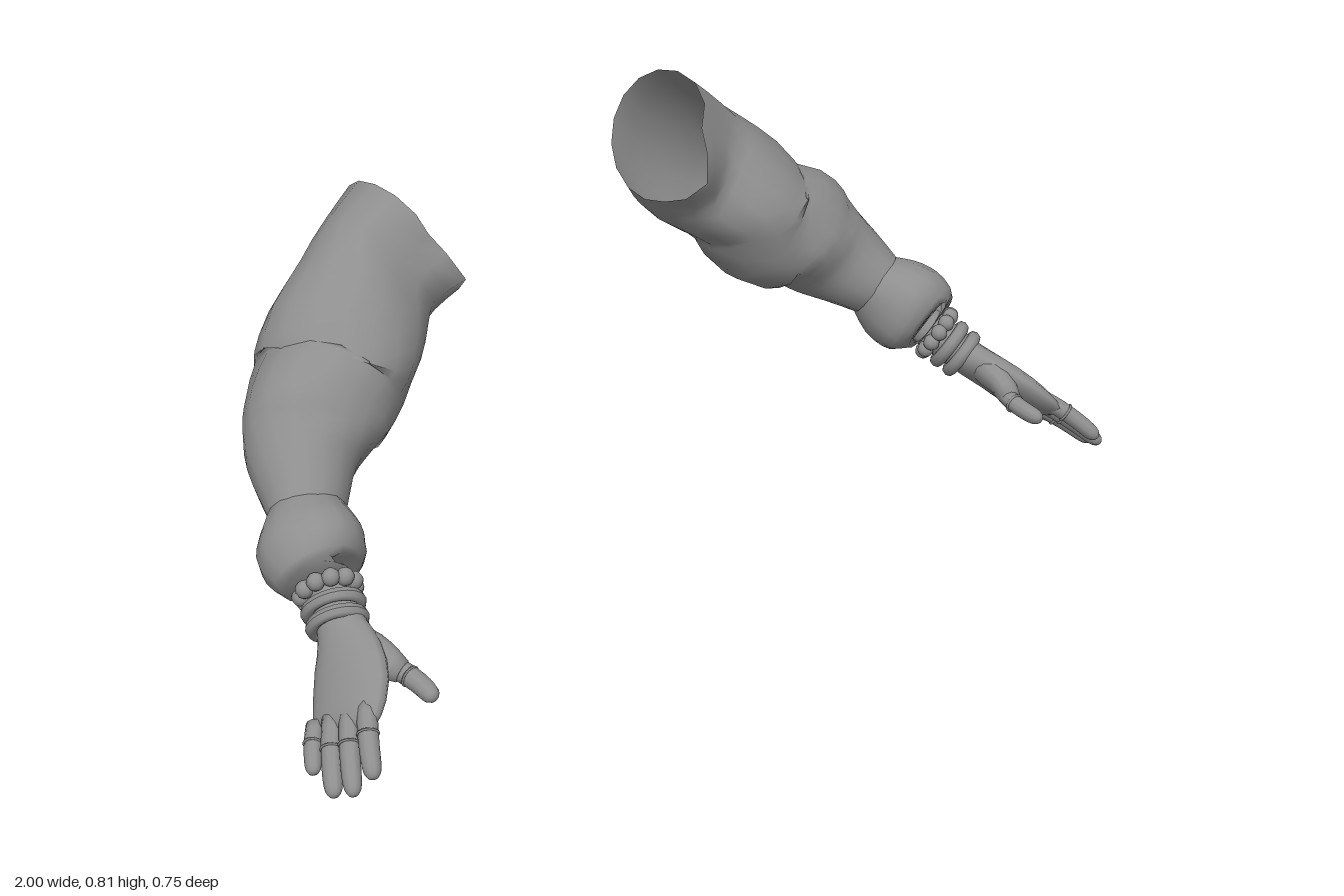
import * as THREE from 'three';

const V = (x, y, z) => new THREE.Vector3(x, y, z);
const bump = (a, centre) => Math.exp(-(((a - centre) / 0.4) ** 2));

// Skin of elliptical rings through stations [x, y, z, radiusU, radiusV].
// ref fixes the ring's V axis; options: start tangent, surface wobble, caps.
function loft(stations, ref, { sides = 12, steps = 2, start, wobble, caps = true } = {}) {
  const path = new THREE.CatmullRomCurve3(stations.map(s => V(s[0], s[1], s[2])), false, 'catmullrom');
  const radii = new THREE.CatmullRomCurve3(stations.map(s => V(s[3], s[4], 0)), false, 'catmullrom');
  const rings = (stations.length - 1) * steps;
  const pos = [], index = [];
  for (let i = 0; i <= rings; i++) {
    const f = i / rings, c = path.getPoint(f), r = radii.getPoint(f), t = path.getTangent(f);
    if (start) t.lerp(start, Math.max(0, 1 - f * 6)).normalize();
    const u = ref.clone().cross(t).normalize(), v = t.clone().cross(u);
    for (let j = 0; j < sides; j++) {
      const a = j / sides * Math.PI * 2, k = wobble ? wobble(a, f) : 1;
      const p = c.clone().addScaledVector(u, Math.cos(a) * r.x * k).addScaledVector(v, Math.sin(a) * r.y * k);
      pos.push(p.x, p.y, p.z);
      if (i < rings) {
        const j2 = (j + 1) % sides, A = i * sides + j, B = i * sides + j2;
        index.push(A, B, A + sides, B, B + sides, A + sides);
      }
    }
  }
  if (caps) {
    const first = path.getPoint(0), last = path.getPoint(1), n = pos.length / 3;
    pos.push(first.x, first.y, first.z, last.x, last.y, last.z);
    for (let j = 0; j < sides; j++) {
      const j2 = (j + 1) % sides, base = rings * sides;
      index.push(n, j2, j, n + 1, base + j, base + j2);
    }
  }
  const g = new THREE.BufferGeometry();
  g.setAttribute('position', new THREE.Float32BufferAttribute(pos, 3));
  g.setIndex(index);
  g.computeVertexNormals();
  return g;
}

// Mirrors a geometry across x = 0 and restores its winding
function mirrorX(g) {
  g.scale(-1, 1, 1);
  const ix = g.index.array;
  for (let i = 0; i < ix.length; i += 3) [ix[i], ix[i + 1]] = [ix[i + 1], ix[i]];
  g.computeVertexNormals();
  return g;
}

// opening: centre and facing of the shoulder hole, which differ per arm
function createArm(name, mirrored, opening) {
  const arm = new THREE.Group();
  arm.name = name;
  const skin = new THREE.MeshStandardMaterial({ color: 0x8f8f8f });
  const cloth = new THREE.MeshStandardMaterial({ color: 0x8f8f8f, side: THREE.DoubleSide });
  const add = (part, g, mat = skin) => {
    const m = new THREE.Mesh(mirrored ? mirrorX(g) : g, mat);
    m.name = part;
    arm.add(m);
  };
  const up = V(0, 1, 0);

  // Baggy sleeve: cornered shoulder opening, fold at the elbow
  add('sleeve', loft([
    [...opening.centre, 0.132, 0.128],
    [0.412, 0.606, -0.25, 0.12, 0.128],
    [0.505, 0.532, -0.215, 0.144, 0.125],
    [0.556, 0.465, -0.19, 0.141, 0.128],
    [0.61, 0.444, -0.165, 0.132, 0.122],
    [0.653, 0.406, -0.142, 0.118, 0.111],
    [0.692, 0.367, -0.108, 0.096, 0.093],
    [0.735, 0.316, -0.046, 0.069, 0.068],
  ], up, {
    sides: 16, steps: 3, start: opening.facing, caps: false,
    wobble: (a, f) => 1 + 0.035 * Math.sin(Math.PI * f) * Math.sin(3 * a + f * 16)
      + Math.exp(-f * 6) * (0.2 * bump(a, 3.6) - 0.22 * bump(a, 2.82)),
  }), cloth);

  // Puffed cuff gathered around the wrist
  add('cuff', loft([
    [0.73, 0.32, -0.055, 0.062, 0.064],
    [0.751, 0.296, -0.022, 0.084, 0.086],
    [0.769, 0.277, 0.01, 0.096, 0.092],
    [0.782, 0.263, 0.034, 0.09, 0.085],
    [0.79, 0.249, 0.057, 0.07, 0.066],
    [0.787, 0.252, 0.054, 0.04, 0.04],
  ], up, {
    sides: 16, steps: 2, caps: false, start: V(0.45, -0.5, 0.74),
    wobble: (a, f) => 1 + 0.045 * Math.sin(3 * a + f * 4),
  }), cloth);

  // Palm and wrist, flattened towards the knuckles
  const back = V(0.76, 0.65, -0.05).normalize();
  add('palm', loft([
    [0.778, 0.245, 0.05, 0.042, 0.038],
    [0.802, 0.207, 0.106, 0.042, 0.037],
    [0.818, 0.184, 0.144, 0.051, 0.034],
    [0.84, 0.16, 0.183, 0.07, 0.032],
    [0.868, 0.129, 0.222, 0.08, 0.029],
    [0.899, 0.096, 0.247, 0.075, 0.022],
    [0.914, 0.08, 0.256, 0.059, 0.011],
  ], back, { sides: 16 }));

  // Tapered digit with a rounded tip, bent at the middle
  const digit = (part, a, b, c, r) => {
    const bend = new THREE.QuadraticBezierCurve3(a, b, c);
    const profile = [[0, 1.04], [0.3, 1.03], [0.6, 1], [0.82, 0.95], [0.93, 0.78], [0.985, 0.46], [1, 0.14]];
    add(part, loft(profile.map(([f, k]) => [...bend.getPoint(f).toArray(), r * k, r * k * 0.92]),
      back, { sides: 10 }));
    return bend;
  };
  // Rolled band around a digit or the wrist
  const band = (part, centre, axis, radius, tube, sx = 1) => {
    const g = new THREE.TorusGeometry(radius, tube, 8, 24);
    g.scale(sx, 1, 1.25);
    const u = back.clone().cross(axis).normalize();
    const frame = new THREE.Matrix4().makeBasis(u, axis.clone().cross(u), axis).setPosition(centre);
    add(part, g.applyMatrix4(frame));
  };

  // Four fingers with glove edges
  const names = ['indexFinger', 'middleFinger', 'ringFinger', 'littleFinger'];
  const tips = [[0.946, 0.046, 0.37], [0.977, 0.019, 0.354], [0.991, 0.008, 0.32], [0.985, 0.024, 0.26]];
  names.forEach((finger, i) => {
    const base = V(0.88, 0.124, 0.278).lerp(V(0.925, 0.068, 0.192), i / 3);
    const tip = V(...tips[i]);
    const mid = base.clone().lerp(tip, 0.5).addScaledVector(back, 0.01);
    const r = i === 3 ? 0.0155 : 0.018;
    const bend = digit(finger, base, mid, tip, r);
    band(finger + 'GloveEdge', bend.getPoint(0.4), bend.getTangent(0.4), r, 0.002);
  });

  // Thumb with its fleshy base
  add('thumbBase', loft([
    [0.826, 0.18, 0.148, 0.022, 0.022], [0.817, 0.174, 0.19, 0.037, 0.03],
    [0.807, 0.165, 0.232, 0.033, 0.026], [0.793, 0.15, 0.268, 0.021, 0.02],
  ], back));
  const thumb = digit('thumb', V(0.80, 0.156, 0.235), V(0.778, 0.142, 0.29), V(0.792, 0.13, 0.35), 0.0185);
  band('thumbGloveEdge', thumb.getPoint(0.42), thumb.getTangent(0.42), 0.0185, 0.002);

  // Two bangles and a bead bracelet tucked under the cuff
  const wristAxis = V(0.4, -0.55, 0.73).normalize();
  band('lowerBangle', V(0.811, 0.193, 0.121), wristAxis, 0.042, 0.0105, 1.12);
  band('upperBangle', V(0.8, 0.21, 0.098), wristAxis, 0.043, 0.0105, 1.14);
  const bu = back.clone().cross(wristAxis).normalize(), bv = wristAxis.clone().cross(bu);
  for (let i = 0; i < 11; i++) {
    const a = i / 11 * Math.PI * 2;
    const g = new THREE.SphereGeometry(0.0165, 10, 8);
    const c = V(0.79, 0.23, 0.073).addScaledVector(bu, Math.cos(a) * 0.05).addScaledVector(bv, Math.sin(a) * 0.044);
    add('bead', g.translate(c.x, c.y, c.z));
  }
  return arm;
}

export function createModel() {
  const model = new THREE.Group();
  model.name = 'sleevedArms';
  model.add(
    createArm('leftArm', false, { centre: [0.325, 0.688, -0.245], facing: V(0.94, -0.34, 0) }),
    createArm('rightArm', true, { centre: [0.337, 0.67, -0.243], facing: V(0.89, -0.455, 0) }),
  );
  return model;
}
